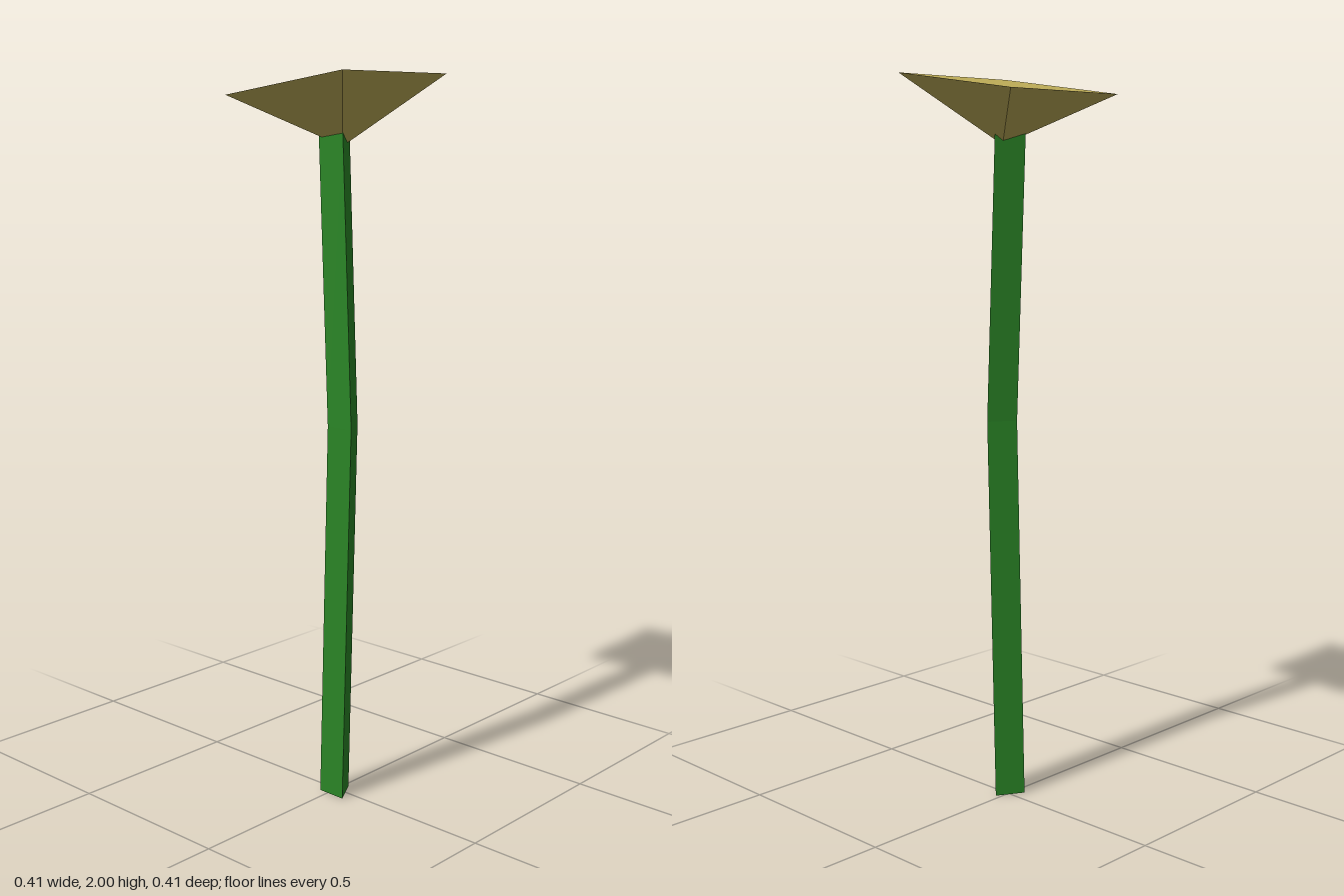
import * as THREE from 'three';

const paint = (color) => new THREE.MeshStandardMaterial({ color, flatShading: true });

// Three-sided stem with a flat front, bowed to +x at its middle ring
function createStem() {
  const height = 1.85, bend = 1.07;
  const geo = new THREE.CylinderGeometry(0.049, 0.049, height, 3, 2, false, Math.PI);
  geo.translate(0.014, height / 2, 0.0125);
  const pos = geo.attributes.position;
  for (let i = 0; i < pos.count; i++) {
    const y = pos.getY(i);
    if (y > 0.1 && y < height - 0.1) {
      pos.setX(i, pos.getX(i) + 0.031);
      pos.setY(i, bend);
    }
  }
  geo.computeVertexNormals();
  const stem = new THREE.Mesh(geo, paint(0x2a8526));
  stem.name = 'stem';
  return stem;
}

// Upside-down four-sided pyramid, tilted so its +x side is raised
function createFlowerHead() {
  const height = 0.16;
  const geo = new THREE.ConeGeometry(0.29, height, 4, 1, false, Math.PI / 4);
  geo.rotateX(Math.PI);
  geo.translate(0, -height / 2, 0); // flat top at the origin
  geo.rotateY(0.01);
  geo.rotateZ(0.135);
  const head = new THREE.Mesh(geo, paint(0xbfae58));
  head.name = 'flowerHead';
  head.position.set(0, 1.972, 0);
  return head;
}

export function createModel() {
  const group = new THREE.Group();
  group.name = 'flower';
  group.add(createStem(), createFlowerHead());
  return group;
}
